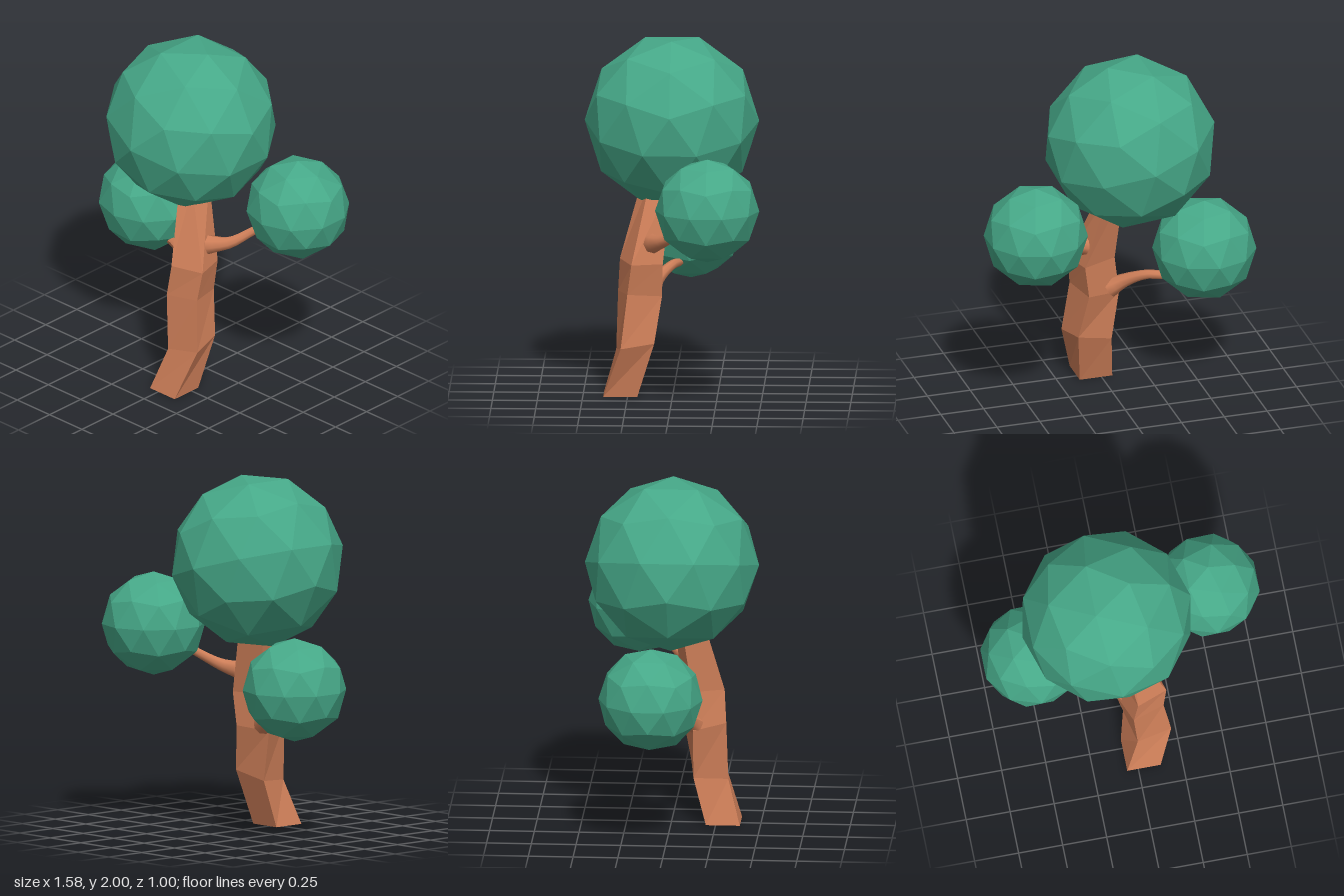
import * as THREE from 'three';

const leafMat = new THREE.MeshStandardMaterial({ color: 0x46a888, flatShading: true });
const barkMat = new THREE.MeshStandardMaterial({ color: 0xcd7e58, flatShading: true });
const branchMat = new THREE.MeshStandardMaterial({ color: 0xcd7e58 });

function named(name, geometry, material) {
  const mesh = new THREE.Mesh(geometry, material);
  mesh.name = name;
  return mesh;
}

// Faceted ball with one vertex turned to the top, then tilted about z
function foliage(name, radius, position, tilt = 0) {
  const geo = new THREE.IcosahedronGeometry(radius, 1);
  geo.rotateZ(tilt - Math.atan(2 / (1 + Math.sqrt(5))));
  const mesh = named(name, geo, leafMat);
  mesh.position.set(...position);
  return mesh;
}

// Four-sided twisting trunk: each ring runs front-left, front-right, back-right, back-left
function trunk() {
  const rings = [
    [[-0.063, 0, 0.386], [0.127, 0, 0.386], [0.127, 0, 0.196], [-0.063, 0, 0.196]],
    [[0.01, 0.25, 0.317], [0.206, 0.285, 0.286], [0.165, 0.31, 0.1], [-0.037, 0.265, 0.125]],
    [[-0.01, 0.58, 0.307], [0.17, 0.587, 0.25], [0.115, 0.57, 0.058], [-0.08, 0.55, 0.125]],
    [[0.016, 0.767, 0.296], [0.19, 0.757, 0.227], [0.14, 0.757, 0.053], [-0.053, 0.767, 0.12]],
    [[-0.04, 1.2, 0.175], [0.018, 1.2, 0.13], [0.028, 1.2, 0.005], [-0.087, 1.2, 0.055]],
  ];
  const pos = [];
  const quad = (a, b, c, d) => pos.push(...a, ...b, ...c, ...a, ...c, ...d);
  for (let i = 0; i < rings.length - 1; i++) {
    for (let k = 0; k < 4; k++) {
      const n = (k + 1) % 4;
      quad(rings[i][k], rings[i][n], rings[i + 1][n], rings[i + 1][k]);
    }
  }
  const [a, b, c, d] = rings[0];
  quad(a, d, c, b);
  quad(...rings[rings.length - 1]);
  const geo = new THREE.BufferGeometry();
  geo.setAttribute('position', new THREE.Float32BufferAttribute(pos, 3));
  geo.computeVertexNormals();
  return named('trunk', geo, barkMat);
}

// Curved branch, flared where it leaves the trunk
function branch(name, points) {
  const curve = new THREE.CatmullRomCurve3(points.map((p) => new THREE.Vector3(...p)));
  const steps = 10, sides = 8;
  const geo = new THREE.TubeGeometry(curve, steps, 1, sides);
  const pos = geo.attributes.position;
  const v = new THREE.Vector3();
  for (let i = 0; i < pos.count; i++) {
    const t = Math.floor(i / (sides + 1)) / steps;
    const centre = curve.getPointAt(t);
    const radius = 0.024 + 0.034 * (1 - t) ** 3;
    v.fromBufferAttribute(pos, i).sub(centre).multiplyScalar(radius).add(centre);
    pos.setXYZ(i, v.x, v.y, v.z);
  }
  geo.computeVertexNormals();
  return named(name, geo, branchMat);
}

export function createModel() {
  const tree = new THREE.Group();
  tree.name = 'tree';
  tree.add(
    trunk(),
    branch('leftBranch', [[0.12, 0.87, 0.11], [0.23, 0.9, 0.05], [0.32, 0.97, -0.05], [0.4, 1.03, -0.12]]),
    branch('rightBranch', [[-0.03, 0.58, 0.13], [-0.11, 0.64, 0.08], [-0.21, 0.69, 0.01], [-0.31, 0.69, -0.03], [-0.37, 0.71, -0.05]]),
    foliage('mainCrown', 0.487, [-0.108, 1.528, 0.01], -0.27),
    foliage('leftFoliage', 0.291, [0.51, 1.13, -0.207]),
    foliage('rightFoliage', 0.291, [-0.513, 0.853, -0.083]),
  );
  return tree;
}
